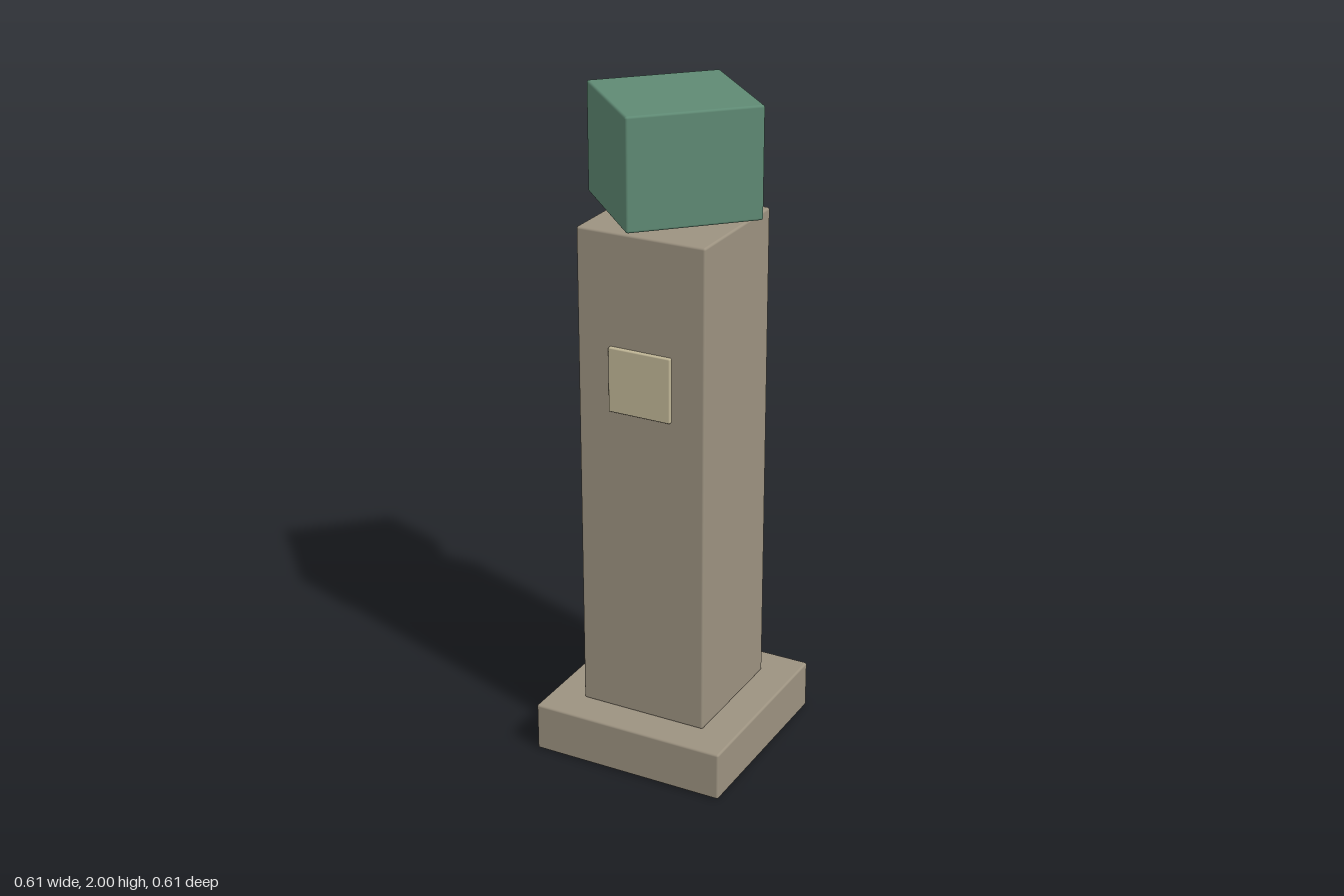
import * as THREE from 'three';
import { RoundedBoxGeometry } from 'three/addons/geometries/RoundedBoxGeometry.js';

export function createModel() {
  const model = new THREE.Group();
  model.name = 'pillar';

  const material = (name, color) => {
    const m = new THREE.MeshStandardMaterial({ color });
    m.name = name;
    return m;
  };
  const stone = material('stone', 0x9c9280);
  const green = material('green', 0x5f8a74);
  const cream = material('cream', 0xc0b696);

  // Softly bevelled block spanning y0 to y1
  const block = (name, mat, width, depth, y0, y1, radius = 0.007) => {
    const mesh = new THREE.Mesh(new RoundedBoxGeometry(width, y1 - y0, depth, 2, radius), mat);
    mesh.name = name;
    mesh.position.y = (y0 + y1) / 2;
    model.add(mesh);
    return mesh;
  };

  block('base', stone, 0.61, 0.61, 0, 0.15);
  block('column', stone, 0.4, 0.4, 0.15, 1.645);

  // Plaque set shallowly into the front of the column
  block('plaque', cream, 0.195, 0.024, 1.115, 1.31, 0.004).position.z = 0.2;

  // Cube hovering above the column, turned corner to the front
  block('topCube', green, 0.39, 0.39, 1.677, 2).rotation.y = Math.PI / 4;

  return model;
}
